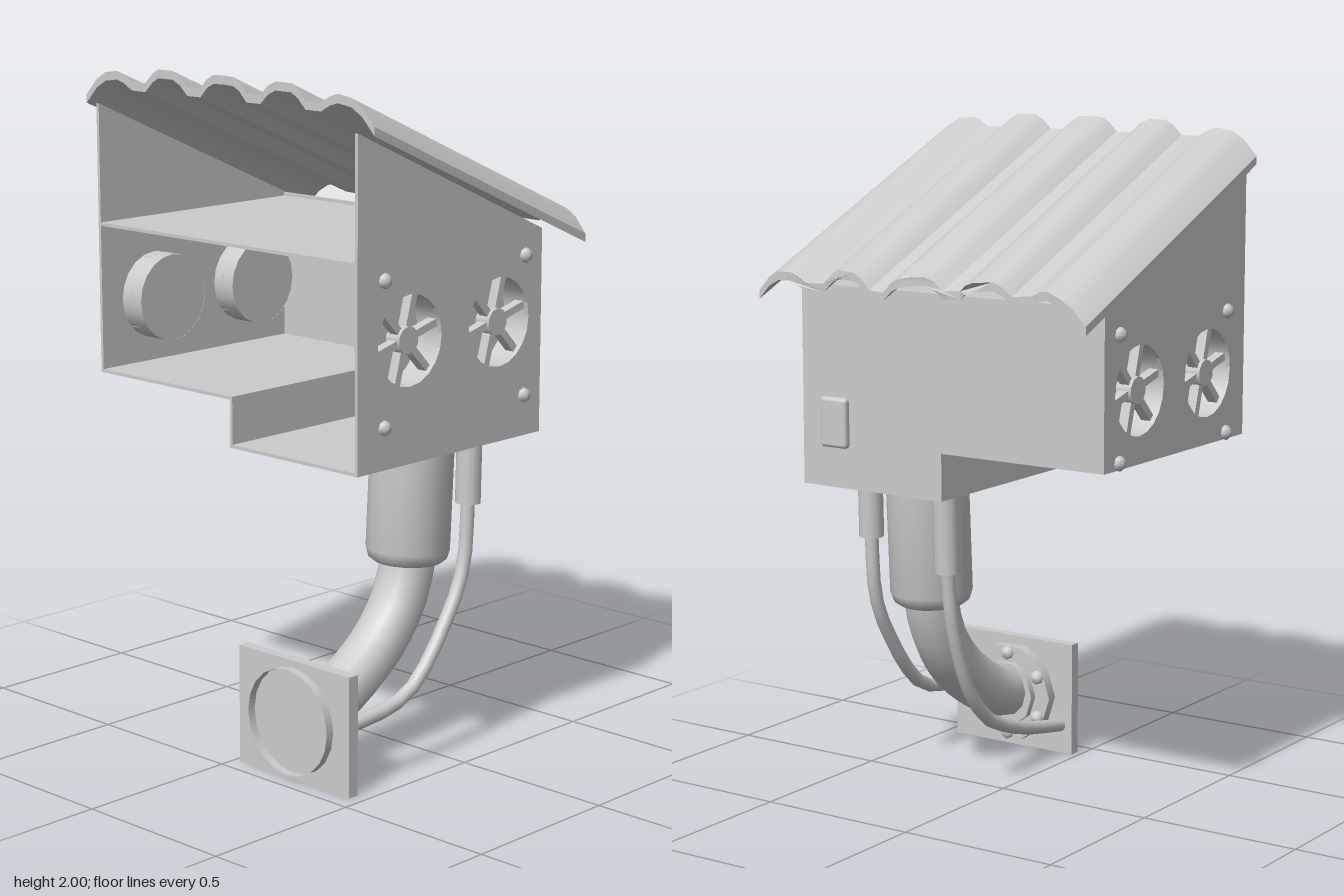
import * as THREE from 'three';
import { toCreasedNormals } from 'three/addons/utils/BufferGeometryUtils.js';
import { RoundedBoxGeometry } from 'three/addons/geometries/RoundedBoxGeometry.js';

const mat = new THREE.MeshStandardMaterial({ color: 0xcccccc, side: THREE.DoubleSide });

function add(parent, name, geo, x = 0, y = 0, z = 0) {
  const m = new THREE.Mesh(geo, mat);
  m.name = name;
  m.position.set(x, y, z);
  parent.add(m);
  return m;
}
const box = (p, name, x0, x1, y0, y1, z0, z1) =>
  add(p, name, new THREE.BoxGeometry(x1 - x0, y1 - y0, z1 - z0), (x0 + x1) / 2, (y0 + y1) / 2, (z0 + z1) / 2);
const polygon = (pts) => new THREE.Shape(pts.map(([x, y]) => new THREE.Vector2(x, y)));
const lerpTable = (t, v) => {
  let i = 1;
  while (i < t.length - 1 && v > t[i][0]) i++;
  const [a, b] = [t[i - 1], t[i]];
  return a[1] + (b[1] - a[1]) * (v - a[0]) / (b[0] - a[0]);
};

const X0 = -0.455, X1 = 0.315, FRONT = 0.5, BACK = -0.55, T = 0.01;
const FLOOR = 0.94, STEP = 1.08, CEIL = 1.53, FAN_Y = 1.29, FAN_R = 0.13;
const FAN_X = [-0.245, 0.13];

// Gable wall with two fan openings, outer face at local z = 0
function sideWall(bottom) {
  const s = polygon([[X0, bottom], [X1, bottom], [X1, 1.54], [X0, 1.88]]);
  for (const x of FAN_X) s.holes.push(new THREE.Path().absarc(x, FAN_Y, FAN_R, 0, Math.PI * 2, true));
  const g = new THREE.ExtrudeGeometry(s, { depth: T, bevelEnabled: false, curveSegments: 10 });
  return g.translate(0, 0, -T);
}

// Recessed fan looking along local +z
function fan() {
  const g = new THREE.Group();
  g.name = 'fan';
  add(g, 'fanDuct', new THREE.CylinderGeometry(FAN_R, FAN_R, 0.09, 20, 1, true).rotateX(Math.PI / 2), 0, 0, -0.046);
  add(g, 'fanBackPlate', new THREE.CircleGeometry(FAN_R, 20), 0, 0, -0.09);
  add(g, 'fanHub', new THREE.CylinderGeometry(0.04, 0.04, 0.05, 10).rotateX(Math.PI / 2), 0, 0, -0.03);
  for (let i = 0; i < 6; i++) {
    const a = i * Math.PI / 3 + 0.25;
    const bar = add(g, 'fanSpoke', new THREE.BoxGeometry(0.095, 0.022, 0.03), Math.cos(a) * 0.082, Math.sin(a) * 0.082, -0.03);
    bar.rotation.z = a;
  }
  return g;
}

// Domed bolt head pointing along +z
const boltGeo = () => new THREE.LatheGeometry(
  [[0.022, 0], [0.022, 0.008], [0.014, 0.018], [0, 0.021]].map((p) => new THREE.Vector2(...p)), 8).rotateX(Math.PI / 2);

function fanSide(name, bottom, boltY, flip) {
  const g = new THREE.Group();
  g.name = name;
  // The back wall is turned inside out by reversing its depth only
  const wall = sideWall(bottom);
  if (flip) wall.translate(0, 0, T);
  add(g, 'wall', wall);
  const turn = flip ? Math.PI : 0;
  for (const x of FAN_X) {
    const f = fan();
    f.position.set(x, FAN_Y, 0);
    f.rotation.y = turn;
    g.add(f);
  }
  for (const x of [-0.35, 0.24]) for (const y of boltY) add(g, 'wallBolt', boltGeo(), x, y, 0).rotation.y = turn;
  return g;
}

function corrugatedRoof() {
  // Half of the wave profile, as distance from the middle and height
  const half = [[0, 0.08], [0.04, 0.078], [0.065, 0.065], [0.092, 0.037], [0.146, 0.037], [0.175, 0.064],
    [0.205, 0.078], [0.265, 0.078], [0.29, 0.064], [0.32, 0.035], [0.378, 0.035], [0.41, 0.053],
    [0.44, 0.062], [0.49, 0.055], [0.53, 0.032], [0.575, -0.015]];
  const top = [...half.slice(1).reverse().map(([z, h]) => [-z, h]), ...half];
  const under = top.map(([z, h]) => [z, h - 0.025]).reverse();
  // Uneven lower end, as z and x
  const end = [[-0.575, 0.45], [-0.49, 0.45], [-0.38, 0.415], [-0.19, 0.455], [-0.14, 0.42], [0.03, 0.46],
    [0.09, 0.465], [0.28, 0.44], [0.42, 0.45], [0.575, 0.42]];
  let g = new THREE.ExtrudeGeometry(polygon([...top, ...under]), { depth: 1, bevelEnabled: false });
  g.rotateY(Math.PI / 2);
  const p = g.attributes.position;
  for (let i = 0; i < p.count; i++) {
    const x = -0.47 + p.getX(i) * (lerpTable(end, p.getZ(i)) + 0.47);
    p.setXYZ(i, x, p.getY(i) + 1.92 - 0.432 * (x + 0.47), p.getZ(i));
  }
  return toCreasedNormals(g, 0.6);
}

const tube = (pts, z, r, n) => new THREE.TubeGeometry(
  new THREE.CatmullRomCurve3(pts.map(([x, y]) => new THREE.Vector3(x, y, z))), n, r, 12);

export function createModel() {
  const model = new THREE.Group();
  model.name = 'ventilationUnit';

  // Housing: open towards -x, with a stepped floor
  const housing = new THREE.Group();
  housing.name = 'housing';
  model.add(housing);
  const front = fanSide('frontWall', FLOOR, [1.06, 1.47], false);
  front.position.z = FRONT;
  const back = fanSide('backWall', STEP, [1.1, 1.46], true);
  back.position.z = BACK;
  housing.add(front, back);
  const end = polygon([[-FRONT, FLOOR], [0, FLOOR], [0, STEP], [-BACK, STEP], [-BACK, 1.54], [-FRONT, 1.54]]);
  add(housing, 'endWall', new THREE.ExtrudeGeometry(end, { depth: T, bevelEnabled: false }).rotateY(Math.PI / 2), X1 - T);
  box(housing, 'lowerFloor', X0, X1, FLOOR, FLOOR + T, 0, FRONT);
  box(housing, 'floorStep', X0, X1, FLOOR, STEP, 0, T);
  box(housing, 'upperFloor', X0, X1, STEP, STEP + T, BACK, T);
  box(housing, 'ceiling', X0, X1, CEIL - T, CEIL, BACK, FRONT);
  add(housing, 'switchPlate', new RoundedBoxGeometry(0.04, 0.15, 0.095, 2, 0.012), X1, 1.135, 0.378);

  add(model, 'corrugatedRoof', corrugatedRoof());

  // Main pipe with its sleeve and the coupling inside the housing
  const Z = 0.24;
  const sleeve = add(model, 'pipeSleeve', toCreasedNormals(new THREE.LatheGeometry(
    [[0, -0.385], [0.1, -0.385], [0.117, -0.372], [0.125, -0.345], [0.125, 0.01]].map((p) => new THREE.Vector2(...p)), 20), 0.9),
  0.053, 0.94, Z);
  sleeve.rotation.z = -0.055;
  add(model, 'mainPipe', tube([[0.045, 0.62], [0.025, 0.52], [-0.02, 0.42], [-0.09, 0.335], [-0.18, 0.265],
    [-0.28, 0.21], [-0.41, 0.18]], Z, 0.083, 12));
  add(model, 'pipeCoupling', new THREE.CylinderGeometry(0.11, 0.11, 0.04, 10), 0.053, 0.97, Z);
  add(model, 'couplingNut', new THREE.CylinderGeometry(0.045, 0.045, 0.05, 8), 0.053, 1.015, Z);

  // Side cables and their sleeves
  const cables = [
    { z: 0.415, top: [0.105, 0.95], path: [[0.1, 0.75], [0.09, 0.6], [0.065, 0.51], [0, 0.4], [-0.07, 0.305],
      [-0.14, 0.24], [-0.22, 0.208], [-0.41, 0.19]] },
    { z: 0.065, top: [0.205, 0.95], path: [[0.195, 0.7], [0.17, 0.53], [0.1, 0.34], [0.05, 0.265], [-0.02, 0.2],
      [-0.17, 0.14], [-0.27, 0.115], [-0.41, 0.09]] },
  ];
  for (const { z, top, path } of cables) {
    add(model, 'cable', tube(path, z, 0.021, 12));
    const [bx, by] = path[0];
    const s = add(model, 'cableSleeve', new THREE.CylinderGeometry(0.038, 0.038, top[1] - by, 12),
      (top[0] + bx) / 2, (top[1] + by) / 2, z);
    s.rotation.z = -Math.atan2(top[0] - bx, top[1] - by);
  }

  // Wall mount: square plate, flange with bolts, and an open collar behind
  const mount = new THREE.Group();
  mount.name = 'wallMount';
  mount.position.set(0, 0.178, Z);
  model.add(mount);
  box(mount, 'mountPlate', -0.445, -0.41, -0.178, 0.178, -0.22, 0.22);
  const disc = (r, h, open = false) => new THREE.CylinderGeometry(r, r, h, open ? 20 : 10, 1, open).rotateZ(Math.PI / 2);
  add(mount, 'flange', disc(0.157, 0.035), -0.393);
  add(mount, 'pipeCollar', disc(0.105, 0.025), -0.365);
  add(mount, 'rearCollar', disc(0.158, 0.026, true), -0.458);
  for (let i = 0; i < 6; i++) {
    const a = Math.PI / 2 + i * Math.PI / 3;
    add(mount, 'flangeBolt', boltGeo(), -0.376, Math.sin(a) * 0.13, Math.cos(a) * 0.13).rotation.y = Math.PI / 2;
  }
  return model;
}
